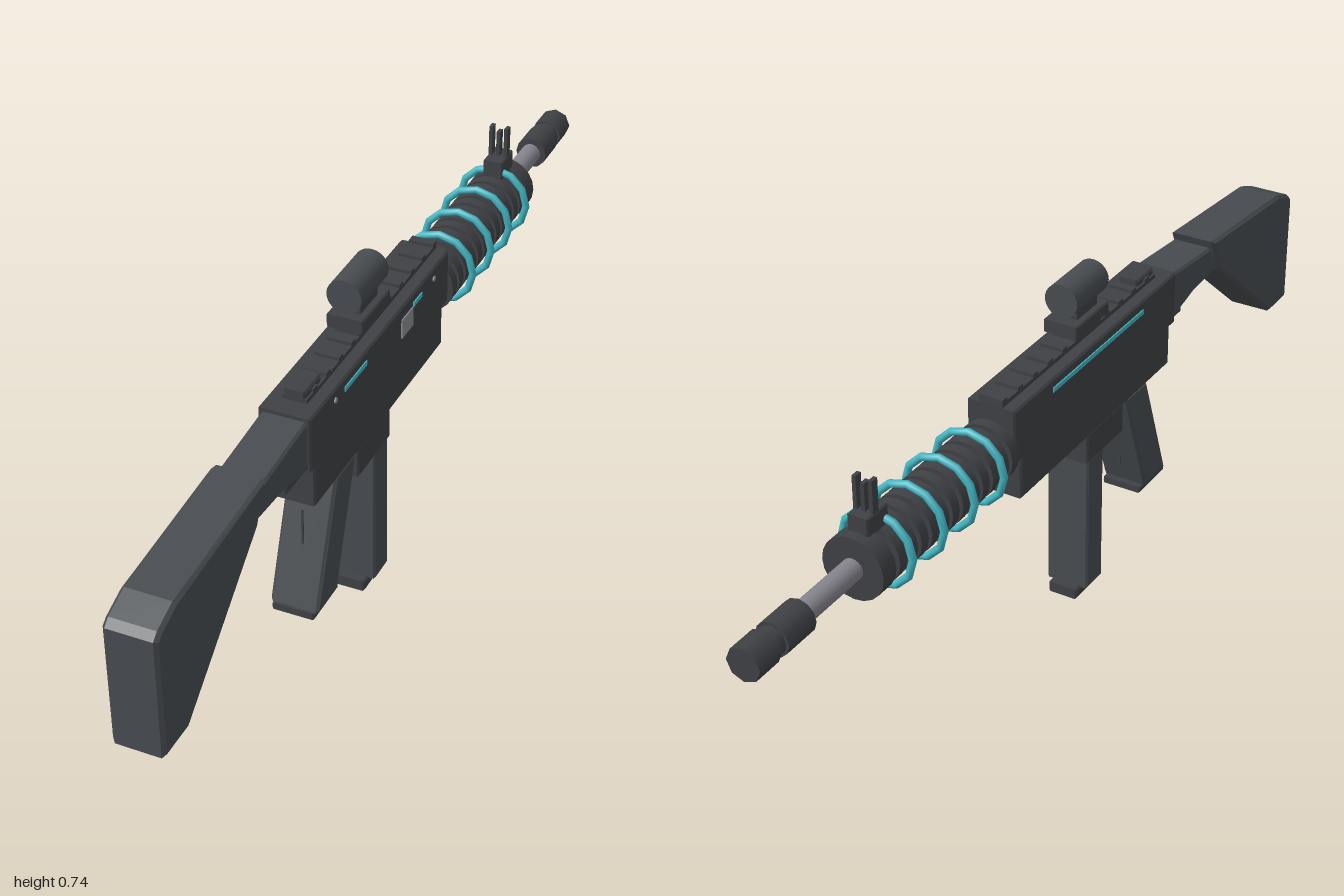
import * as THREE from 'three';

const mat = (name, color) => {
  const m = new THREE.MeshStandardMaterial({ color });
  m.name = name;
  return m;
};

export function createModel() {
  const model = new THREE.Group();
  const polymer = mat('slate polymer', 0x484c50);
  const metal = mat('dark gunmetal', 0x3f4145);
  const steel = mat('barrel steel', 0x85838c);
  const teal = mat('teal', 0x42b6c2);
  const plateGrey = mat('plate grey', 0x8c8d90);

  const add = (name, geo, material) => {
    const mesh = new THREE.Mesh(geo, material);
    mesh.name = name;
    model.add(mesh);
    return mesh;
  };
  // Box given by half width, y range and z range, optionally shifted in x
  const box = (name, m, hw, y0, y1, z0, z1, x = 0) => {
    const geo = new THREE.BoxGeometry(hw * 2, y1 - y0, z1 - z0);
    geo.translate(x, (y0 + y1) / 2, (z0 + z1) / 2);
    return add(name, geo, m);
  };
  // Side outline of [z, y] points, extruded across x with a small chamfer
  const prism = (name, m, hw, pts, bevel = 0.005) => {
    const shape = new THREE.Shape(pts.map(([z, y]) => new THREE.Vector2(z, y)));
    const geo = new THREE.ExtrudeGeometry(shape, {
      depth: 2 * (hw - bevel), bevelEnabled: true, bevelSegments: 1,
      bevelSize: bevel, bevelThickness: bevel, bevelOffset: -bevel,
    });
    geo.translate(0, 0, -(hw - bevel));
    geo.rotateY(-Math.PI / 2);
    return add(name, geo, m);
  };
  const block = (name, m, hw, y0, y1, z0, z1, bevel = 0.004) =>
    prism(name, m, hw, [[z0, y0], [z1, y0], [z1, y1], [z0, y1]], bevel);
  // Cylinder along z
  const tube = (name, m, r, y, z0, z1, sides = 20) => {
    const geo = new THREE.CylinderGeometry(r, r, z1 - z0, sides);
    geo.rotateX(Math.PI / 2);
    geo.translate(0, y, (z0 + z1) / 2);
    return add(name, geo, m);
  };
  const axisY = 0.515;

  // Stock and its arm
  prism('stock', polymer, 0.052, [
    [1, 0.285], [1, 0.54], [0.985, 0.553], [0.93, 0.574], [0.60, 0.6], [0.635, 0.52], [0.915, 0.285],
  ], 0.007);
  prism('stockArm', polymer, 0.046, [
    [0.64, 0.525], [0.60, 0.585], [0.41, 0.603], [0.41, 0.49], [0.52, 0.515],
  ]);
  block('stockLatch', metal, 0.035, 0.48, 0.51, 0.41, 0.49);

  // Receiver
  block('upperReceiver', metal, 0.053, 0.49, 0.609, -0.225, 0.424);
  block('lowerReceiver', metal, 0.051, 0.40, 0.50, -0.2, 0.405);
  block('magazineWell', metal, 0.05, 0.335, 0.405, 0.06, 0.21);

  // Top rail with teeth, and rear sight
  box('rail', metal, 0.026, 0.605, 0.618, -0.225, 0.38);
  for (let i = 0; i < 11; i++) {
    const z = -0.215 + i * 0.056;
    box('railTooth', metal, 0.026, 0.612, 0.625, z - 0.009, z + 0.009);
  }
  block('rearSight', metal, 0.022, 0.61, 0.632, 0.31, 0.38);

  // Grip, trigger parts
  prism('grip', polymer, 0.051, [
    [0.405, 0.14], [0.315, 0.14], [0.222, 0.405], [0.31, 0.405], [0.325, 0.365],
  ], 0.006);
  block('gripBase', metal, 0.045, 0.127, 0.142, 0.30, 0.41, 0.003);
  box('triggerGuard', metal, 0.014, 0.296, 0.304, 0.12, 0.235);
  box('triggerGuardPost', metal, 0.002, 0.19, 0.39, 0.288, 0.291);
  box('gripRod', metal, 0.002, 0.2, 0.345, 0.358, 0.361);

  // Magazine
  block('magazine', polymer, 0.048, 0.02, 0.34, 0.066, 0.13);
  block('magazineBase', metal, 0.034, 0, 0.024, 0.046, 0.152);

  // Sight on its mount
  block('sightFoot', metal, 0.027, 0.615, 0.637, 0.05, 0.15, 0.002);
  block('sightMount', metal, 0.038, 0.632, 0.66, 0.033, 0.162, 0.003);
  box('sightNeck', metal, 0.023, 0.655, 0.68, 0.06, 0.14);
  tube('sightBody', polymer, 0.036, 0.706, 0.037, 0.163, 28);

  // Finned handguard
  tube('handguardCore', metal, 0.05, axisY, -0.66, -0.22);
  for (let i = 0; i < 12; i++) {
    const z = -0.24 - i * 0.0345;
    tube('handguardFin', metal, 0.063, axisY, z - 0.0115, z + 0.0115);
  }
  tube('handguardCap', metal, 0.065, axisY, -0.685, -0.645);

  // Glowing hoops
  for (const z of [-0.303, -0.405, -0.508, -0.61]) {
    const hoop = add('hoop', new THREE.TorusGeometry(0.076, 0.008, 8, 12), teal);
    hoop.position.set(0, axisY, z);
  }

  // Front sight
  block('frontSightBase', metal, 0.022, 0.57, 0.613, -0.665, -0.6, 0.003);
  for (const x of [-0.017, 0, 0.017]) {
    box('frontSightPost', metal, 0.004, 0.608, x ? 0.68 : 0.67, -0.645, -0.628, x);
  }

  // Barrel and muzzle
  tube('barrel', steel, 0.022, axisY, -0.86, -0.68);
  tube('muzzleRear', metal, 0.035, axisY, -0.92, -0.842, 12);
  tube('muzzleNeck', metal, 0.029, axisY, -0.945, -0.915, 12);
  tube('muzzleTip', metal, 0.035, axisY, -1, -0.938, 8);

  // Side markings: broken stripe on one side, full stripe on the other
  const side = 0.0535;
  box('stripe', teal, 0.002, 0.58, 0.59, 0.18, 0.278, side);
  box('stripe', teal, 0.002, 0.58, 0.59, -0.085, -0.043, side);
  box('stripe', teal, 0.002, 0.58, 0.59, -0.085, 0.278, -side);
  box('badgePlate', plateGrey, 0.002, 0.54, 0.582, -0.04, 0.015, side);
  for (const z of [0.318, -0.147]) {
    const geo = new THREE.CylinderGeometry(0.006, 0.006, 0.004, 10);
    geo.rotateZ(Math.PI / 2);
    add('rivet', geo, plateGrey).position.set(side, 0.586, z);
  }
  return model;
}
